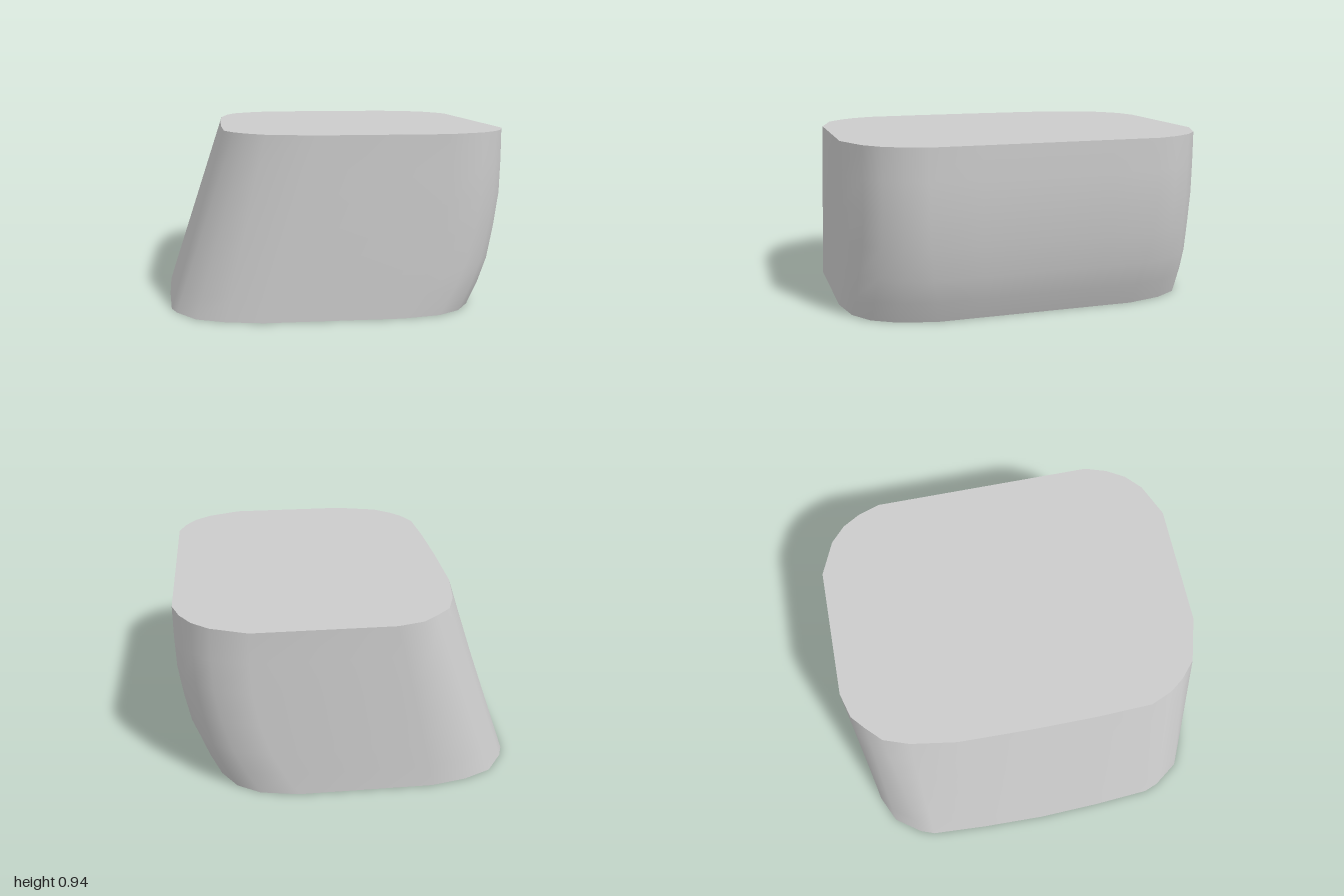
import * as THREE from 'three';

// Corner profiles: [inset from the side face, z], running from the middle to the flat z = 1 face
const slopedBottom = [[0, 0], [0.01, 0.35], [0.03, 0.67], [0.06, 0.75], [0.16, 0.89], [0.31, 0.96], [0.5, 1]];
const slopedTopFront = [[0, 0], [0, 0.35], [0.01, 0.65], [0.06, 0.77], [0.12, 0.85], [0.21, 0.93], [0.45, 1]];
const slopedTopBack = [[0, 0], [0.01, 0.42], [0.05, 0.67], [0.1, 0.81], [0.18, 0.89], [0.26, 0.96], [0.4, 1]];
const curvedBottom = [[0, 0], [0, 0.3], [0, 0.55], [0.05, 0.75], [0.13, 0.88], [0.25, 0.96], [0.45, 1]];
const curvedTop = [[0, 0], [0, 0.35], [0, 0.62], [0.04, 0.74], [0.1, 0.84], [0.19, 0.92], [0.38, 1]];

// Cross-section heights with the x of the curved side
const levels = [[0, 0.75], [0.12, 0.805], [0.25, 0.85], [0.42, 0.88], [0.6, 0.905], [0.77, 0.91], [0.94, 0.91]];
const HEIGHT = 0.94;

const blend = (a, b, t) => a.map((p, i) => [p[0] + (b[i][0] - p[0]) * t, p[1] + (b[i][1] - p[1]) * t]);

// Closed outline at one height, going +x, +z, -x, -z
function outline(y, right) {
  const t = y / HEIGHT;
  const left = -0.91 + 0.31 * t;
  const curved = blend(curvedBottom, curvedTop, Math.min(1, t * 2));
  const front = blend(slopedBottom, slopedTopFront, t);
  const back = blend(slopedBottom, slopedTopBack, t);
  return [
    ...curved.map(([d, z]) => [right - d, y, z]),
    ...front.slice().reverse().map(([d, z]) => [left + d, y, z]),
    ...back.slice(1).map(([d, z]) => [left + d, y, -z]),
    ...curved.slice(1).reverse().map(([d, z]) => [right - d, y, -z]),
  ];
}

function makeGeometry(points, index) {
  const g = new THREE.BufferGeometry();
  g.setAttribute('position', new THREE.Float32BufferAttribute(points.flat(), 3));
  g.setIndex(index);
  g.computeVertexNormals();
  return g;
}

// Smooth wall lofted through the outlines
function wallGeometry(rings) {
  const n = rings[0].length;
  const index = [];
  for (let i = 0; i < rings.length - 1; i++) {
    for (let j = 0; j < n; j++) {
      const a = i * n + j, b = i * n + (j + 1) % n;
      index.push(a, a + n, b, b, a + n, b + n);
    }
  }
  return makeGeometry(rings.flat(), index);
}

// Flat cap fanned from its centre
function capGeometry(ring, up) {
  const n = ring.length;
  const index = [];
  for (let j = 0; j < n; j++) {
    const k = (j + 1) % n;
    index.push(n, up ? k : j, up ? j : k);
  }
  return makeGeometry([...ring, [0, ring[0][1], 0]], index);
}

export function createModel() {
  const group = new THREE.Group();
  group.name = 'slantedBlock';
  const material = new THREE.MeshStandardMaterial({ color: 0xcccccc });
  const add = (name, geometry) => {
    const mesh = new THREE.Mesh(geometry, material);
    mesh.name = name;
    group.add(mesh);
  };

  const rings = levels.map(([y, right]) => outline(y, right));
  add('sideWall', wallGeometry(rings));
  add('topFace', capGeometry(rings[rings.length - 1], true));
  add('bottomFace', capGeometry(rings[0], false));
  return group;
}
